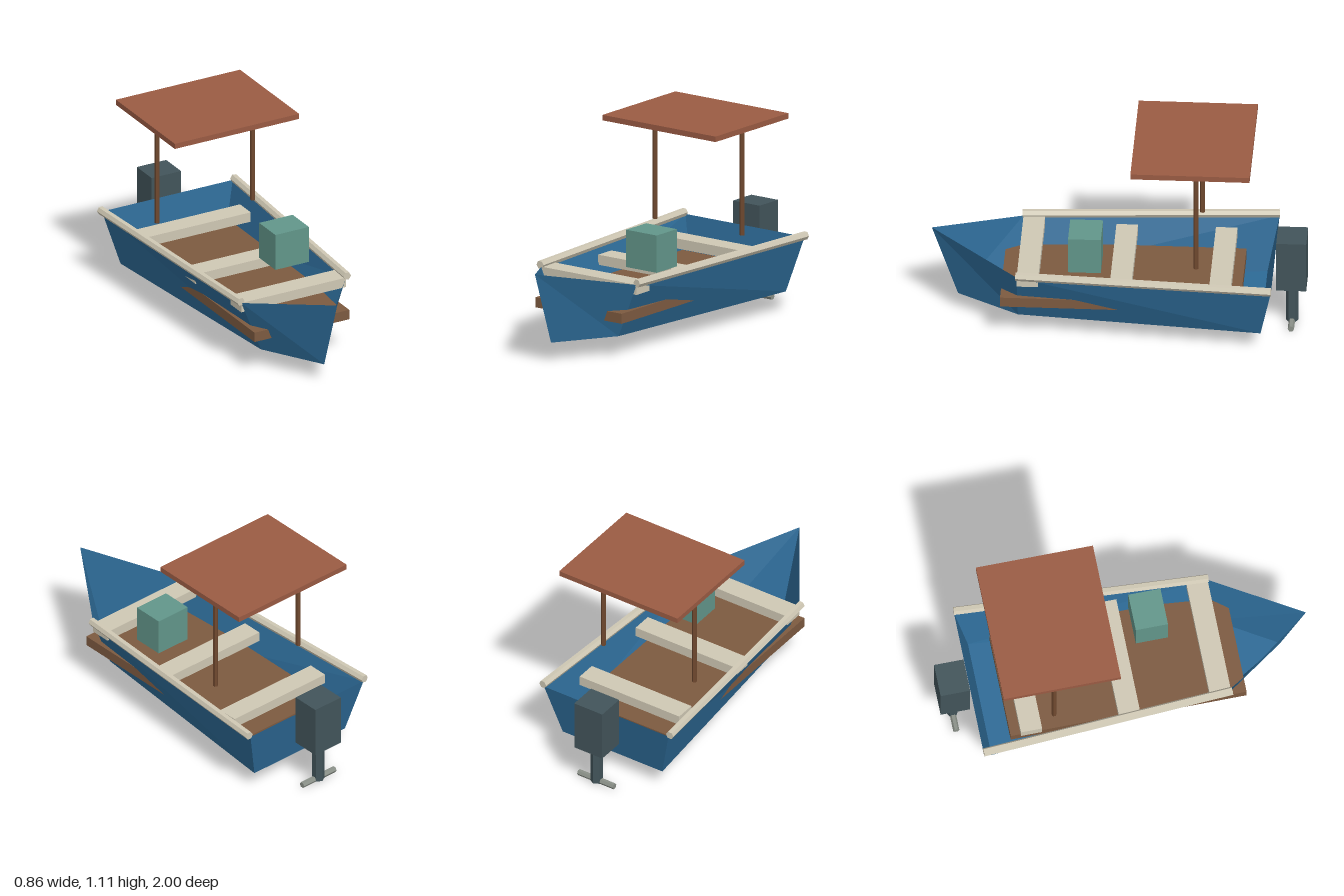
import * as THREE from 'three';

const mat = (color, side = THREE.FrontSide) =>
  new THREE.MeshStandardMaterial({ color, flatShading: true, side });

export function createModel() {
  const boat = new THREE.Group();
  boat.name = 'motorBoat';

  const blue = mat(0x2d6a96, THREE.DoubleSide);
  const wood = mat(0x7d5a40);
  const post = mat(0x70492f);
  const cream = mat(0xcfc8b4);
  const roof = mat(0x9a5b43);
  const green = mat(0x62968a);
  const dark = mat(0x42545a);
  const metal = mat(0x8a9088);

  const add = (name, geometry, material) => {
    const mesh = new THREE.Mesh(geometry, material);
    mesh.name = name;
    boat.add(mesh);
    return mesh;
  };
  // Box given by its extents along each axis
  const box = (name, material, [x0, x1], [y0, y1], [z0, z1]) =>
    add(name, new THREE.BoxGeometry(x1 - x0, y1 - y0, z1 - z0), material)
      .position.set((x0 + x1) / 2, (y0 + y1) / 2, (z0 + z1) / 2);
  // Faceted rod between two points
  const rod = (name, material, a, b, radius, sides = 6) => {
    const from = new THREE.Vector3(...a), to = new THREE.Vector3(...b);
    const dir = to.clone().sub(from);
    const mesh = add(name, new THREE.CylinderGeometry(radius, radius, dir.length(), sides), material);
    mesh.position.copy(from).add(to).multiplyScalar(0.5);
    mesh.quaternion.setFromUnitVectors(new THREE.Vector3(0, 1, 0), dir.normalize());
    return mesh;
  };

  // Hull: open shell through three stations (stern, shoulder, bow)
  // Each station: top half width, top y, top z, bottom half width, bottom z
  const stations = [
    [0.40, 0.41, -0.83, 0.32, -0.77],
    [0.32, 0.41, 0.53, 0.20, 0.53],
    [0, 0.513, 1.0, 0, 0.86],
  ];
  const points = [];
  for (const [tw, ty, tz, bw, bz] of stations) {
    points.push(-tw, ty, tz, -bw, 0.11, bz, bw, 0.11, bz, tw, ty, tz);
  }
  const faces = [0, 3, 2, 0, 2, 1]; // transom
  for (let s = 0; s < 2; s++) {
    for (let k = 0; k < 3; k++) {
      const a = s * 4 + k, b = a + 1, c = a + 4, d = a + 5;
      if (s === 1 && k === 1) faces.push(a, b, c); // bottom ends in a point
      else faces.push(a, b, d, a, d, c);
    }
  }
  const hull = new THREE.BufferGeometry();
  hull.setAttribute('position', new THREE.Float32BufferAttribute(points, 3));
  hull.setIndex(faces);
  const shell = hull.toNonIndexed();
  shell.computeVertexNormals();
  add('hull', shell, blue);

  // Floor and benches
  box('floor', wood, [-0.29, 0.29], [0.21, 0.265], [-0.66, 0.62]);
  box('frontBench', cream, [-0.32, 0.32], [0.355, 0.41], [0.415, 0.53]);
  box('middleBench', cream, [-0.32, 0.32], [0.32, 0.375], [-0.08, 0.035]);
  box('rearBench', cream, [-0.32, 0.32], [0.32, 0.375], [-0.61, -0.495]);
  box('crate', green, [0.042, 0.247], [0.41, 0.615], [0.085, 0.26]);

  // Rails and canopy posts on both sides
  for (const s of [-1, 1]) {
    const rail = rod(s > 0 ? 'leftRail' : 'rightRail', cream,
      [s * 0.325, 0.42, 0.535], [s * 0.408, 0.42, -0.83], 0.023);
    rail.rotateY(Math.PI / 2);
    rod(s > 0 ? 'leftPost' : 'rightPost', post,
      [s * 0.292, 0.485, -0.425], [s * 0.292, 1.082, -0.425], 0.0135);
  }
  box('canopy', roof, [-0.38, 0.38], [1.08, 1.11], [-0.715, -0.08]);

  // Outboard motor
  box('motorHousing', dark, [-0.09, 0.09], [0.24, 0.53], [-1.0, -0.84]);
  rod('motorLeg', dark, [0, 0.01, -0.92], [0, 0.25, -0.92], 0.034);
  rod('propellerBar', metal, [-0.115, 0.018, -0.92], [0.115, 0.018, -0.92], 0.017);

  return boat;
}
